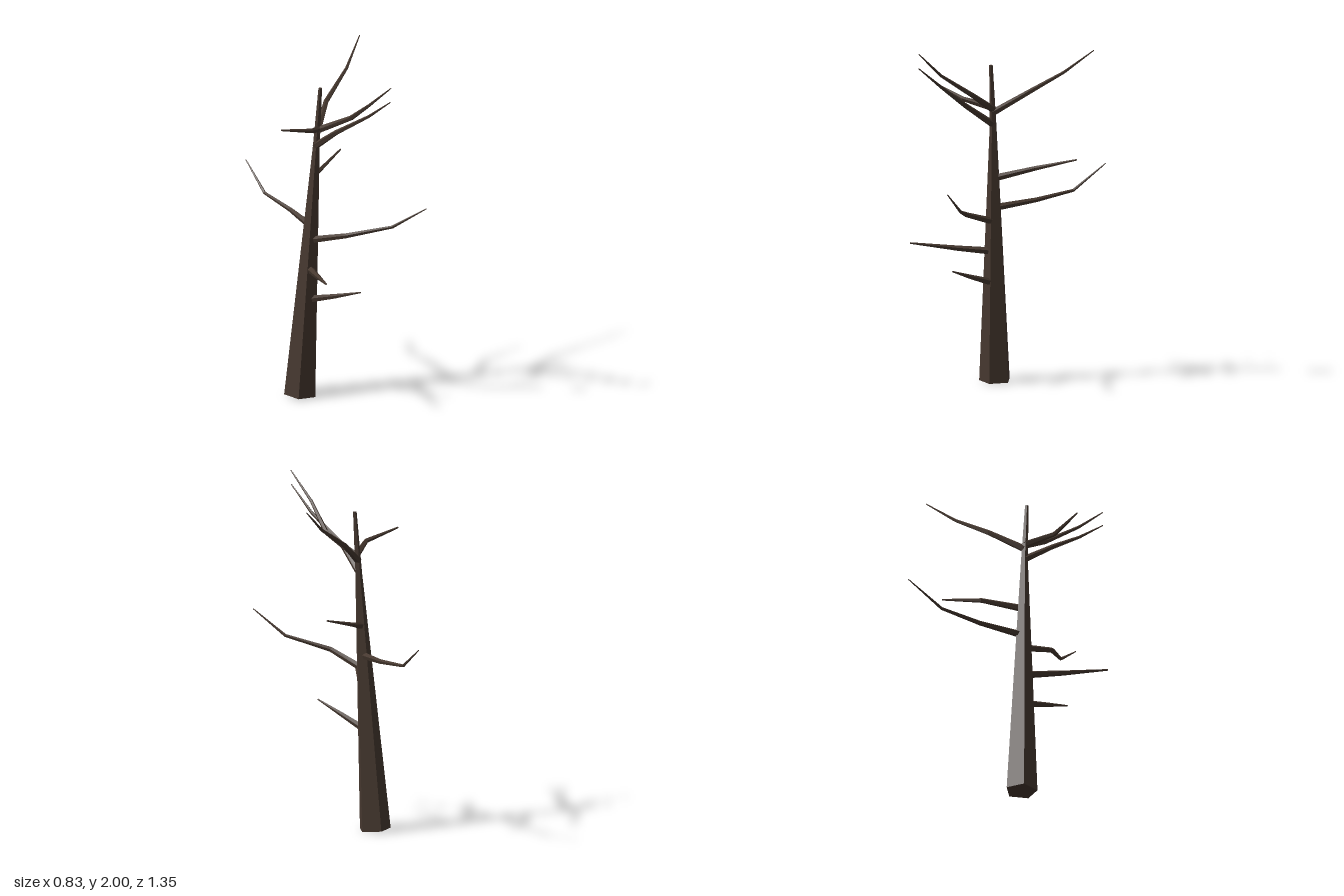
import * as THREE from 'three';

const SIDES = 5;

// Five-sided tapering limb through points [x, y, z, radius]; ref aims the first corner of each ring
function limbGeometry(points, ref) {
  const centres = points.map(p => new THREE.Vector3(p[0], p[1], p[2]));
  const last = centres.length - 1;
  const rings = centres.map((c, i) => {
    const t = new THREE.Vector3();
    if (i > 0) t.add(c.clone().sub(centres[i - 1]).normalize());
    if (i < last) t.add(centres[i + 1].clone().sub(c).normalize());
    t.normalize();
    const u = ref.clone().addScaledVector(t, -ref.dot(t)).normalize();
    const v = new THREE.Vector3().crossVectors(t, u);
    return Array.from({ length: SIDES }, (_, k) => {
      const a = (k / SIDES) * Math.PI * 2;
      return c.clone()
        .addScaledVector(u, Math.cos(a) * points[i][3])
        .addScaledVector(v, Math.sin(a) * points[i][3]);
    });
  });
  const pos = [];
  const tri = (...corners) => corners.forEach(p => pos.push(p.x, p.y, p.z));
  for (let k = 0; k < SIDES; k++) {
    const n = (k + 1) % SIDES;
    for (let i = 0; i < last; i++) {
      tri(rings[i][k], rings[i][n], rings[i + 1][n]);
      tri(rings[i][k], rings[i + 1][n], rings[i + 1][k]);
    }
    // End caps
    tri(centres[0], rings[0][n], rings[0][k]);
    tri(centres[last], rings[last][k], rings[last][n]);
  }
  const g = new THREE.BufferGeometry();
  g.setAttribute('position', new THREE.Float32BufferAttribute(pos, 3));
  g.computeVertexNormals();
  return g;
}

export function createModel() {
  const bark = new THREE.MeshStandardMaterial({ color: 0x46382f });
  bark.name = 'dark bark';
  const tree = new THREE.Group();
  tree.name = 'bareTree';

  const addLimb = (name, points, ref) => {
    const mesh = new THREE.Mesh(limbGeometry(points, ref), bark);
    mesh.name = name;
    tree.add(mesh);
  };

  // Leaning trunk with a thin tip
  addLimb('trunk', [
    [-0.16, 0.01, 0.028, 0.094],
    [-0.088, 1.5, 0.087, 0.021],
    [-0.075, 1.86, 0.11, 0.011],
  ], new THREE.Vector3(0, 0, -1));

  // Bent branches, lowest first
  const branches = {
    lowFrontBranch: [[-0.12, 0.59, 0.08, 0.021], [-0.06, 0.645, 0.25, 0.014], [0.01, 0.705, 0.42, 0.004]],
    lowRightBranch: [[-0.125, 0.77, 0.08, 0.022], [-0.19, 0.795, 0.27, 0.016], [-0.28, 0.835, 0.525, 0.005]],
    middleFrontBranch: [[-0.11, 0.945, 0.08, 0.021], [-0.018, 1.018, 0.305, 0.015],
      [0.19, 1.085, 0.475, 0.009], [0.315, 1.22, 0.64, 0.003]],
    middleBackBranch: [[-0.108, 1.025, 0.05, 0.021], [-0.093, 1.045, -0.2, 0.014],
      [-0.11, 1.073, -0.46, 0.009], [-0.107, 1.21, -0.675, 0.003]],
    middleLeftBranch: [[-0.09, 1.2, 0.065, 0.021], [0.03, 1.255, -0.125, 0.014], [0.27, 1.33, -0.25, 0.005]],
    highLeftBranch: [[-0.085, 1.58, 0.09, 0.021], [0.065, 1.71, -0.06, 0.015],
      [0.265, 1.845, -0.17, 0.009], [0.414, 1.985, -0.278, 0.003]],
    highRightBranch: [[-0.08, 1.61, 0.095, 0.021], [-0.2, 1.655, 0.22, 0.014], [-0.417, 1.705, 0.252, 0.005]],
    upperFrontBranch: [[-0.085, 1.6, 0.09, 0.021], [0.022, 1.715, 0.29, 0.015],
      [0.014, 1.85, 0.5, 0.009], [0.06, 1.998, 0.675, 0.003]],
    lowerFrontBranch: [[-0.09, 1.51, 0.085, 0.021], [-0.072, 1.64, 0.28, 0.015],
      [0.014, 1.785, 0.5, 0.009], [0.057, 1.915, 0.675, 0.003]],
  };
  for (const [name, points] of Object.entries(branches)) {
    addLimb(name, points, new THREE.Vector3(0, 1, 0));
  }
  return tree;
}
